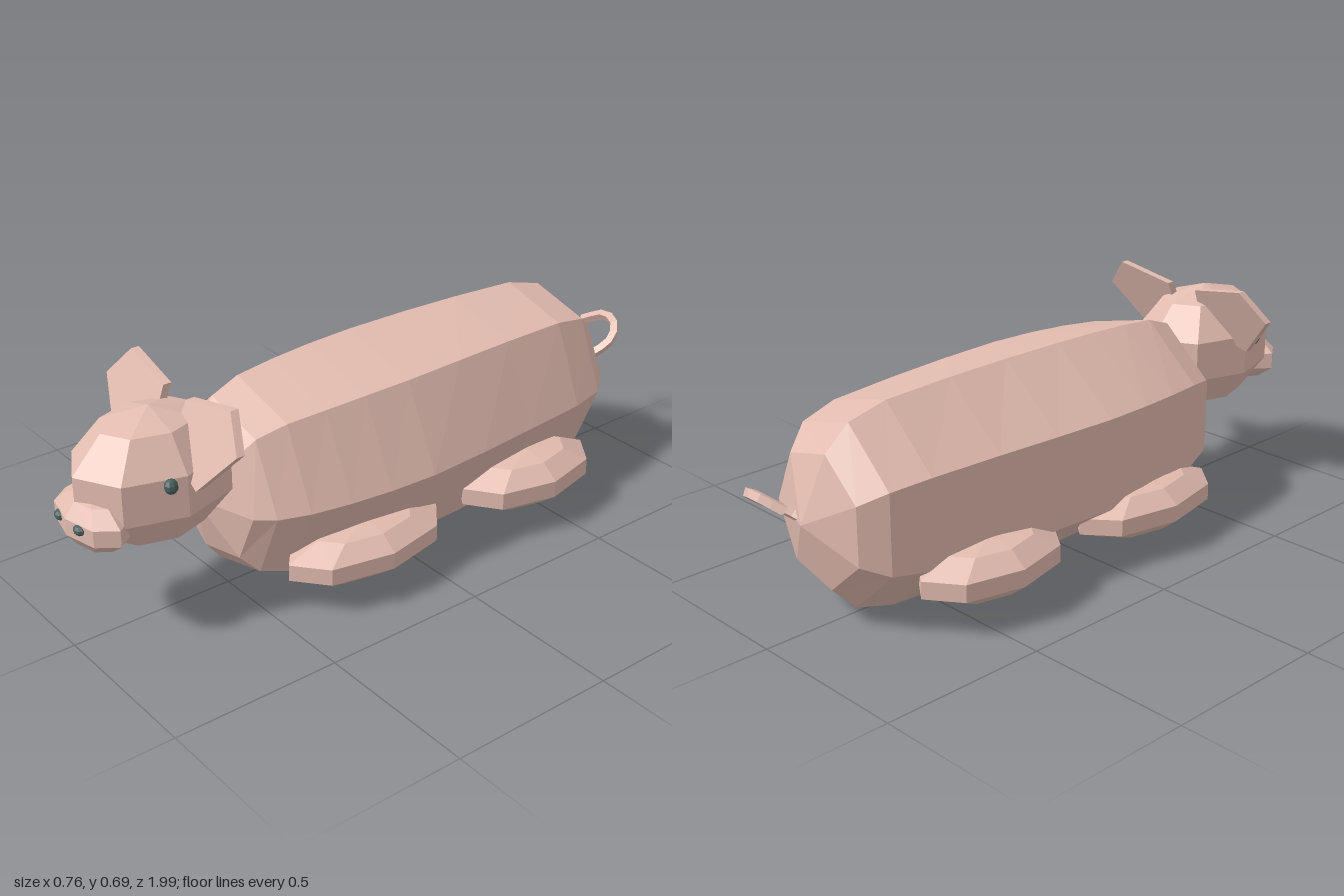
import * as THREE from 'three';

const skin = new THREE.MeshStandardMaterial({ color: 0xe3bcb0, flatShading: true });
const dark = new THREE.MeshStandardMaterial({ color: 0x4a6260, flatShading: true });

function add(group, name, geometry, material = skin) {
  const mesh = new THREE.Mesh(geometry, material);
  mesh.name = name;
  group.add(mesh);
  return mesh;
}

// Low-poly ellipsoid with its pole pointing up
function ellipsoid(group, name, pos, radii, material = skin) {
  const geo = new THREE.SphereGeometry(1, 8, 5);
  geo.scale(...radii).translate(...pos);
  return add(group, name, geo, material);
}

// Seven-sided barrel lofted along z from rings of [z, half width, half height]
function bodyGeometry() {
  const sides = 7, centreY = 0.32;
  const rings = [
    [-0.87, 0, 0], [-0.81, 0.18, 0.2], [-0.74, 0.235, 0.275], [-0.62, 0.265, 0.308],
    [-0.4, 0.287, 0.318], [-0.2, 0.306, 0.322], [0, 0.319, 0.322], [0.15, 0.312, 0.318],
    [0.28, 0.297, 0.31], [0.4, 0.274, 0.298], [0.49, 0.242, 0.265], [0.54, 0.2, 0.2], [0.6, 0, 0],
  ];
  const positions = [], index = [];
  for (const [z, rx, ry] of rings) {
    for (let j = 0; j < sides; j++) {
      const a = (j / sides) * Math.PI * 2;
      positions.push(rx * Math.cos(a), centreY + ry * Math.sin(a), z);
    }
  }
  for (let i = 0; i < rings.length - 1; i++) {
    for (let j = 0; j < sides; j++) {
      const k = (j + 1) % sides;
      const a = i * sides + j, b = i * sides + k, c = b + sides, d = a + sides;
      if (i > 0) index.push(a, b, d);
      if (i < rings.length - 2) index.push(b, c, d);
      if (i === 0) index.push(a, c, d);
    }
  }
  const geo = new THREE.BufferGeometry();
  geo.setAttribute('position', new THREE.Float32BufferAttribute(positions, 3));
  geo.setIndex(index);
  geo.computeVertexNormals();
  return geo;
}

// Flat ear plate, leaning back towards its top
function earGeometry(side) {
  const outline = [[0.05, 0.59], [0.055, 0.657], [0.24, 0.692], [0.318, 0.603], [0.205, 0.475], [0.13, 0.5]];
  const shape = new THREE.Shape(outline.map(([x, y]) => new THREE.Vector2(side * x, y)));
  const geo = new THREE.ExtrudeGeometry(shape, { depth: 0.025, bevelEnabled: false });
  const p = geo.attributes.position;
  for (let i = 0; i < p.count; i++) {
    p.setZ(i, p.getZ(i) + 0.6 + (0.69 - p.getY(i)) * 0.43);
  }
  geo.computeVertexNormals();
  return geo;
}

export function createModel() {
  const model = new THREE.Group();
  model.name = 'pig';

  add(model, 'body', bodyGeometry());

  // Head and snout
  ellipsoid(model, 'head', [0, 0.451, 0.722], [0.188, 0.196, 0.25]);
  ellipsoid(model, 'snout', [0, 0.376, 0.91], [0.15, 0.08, 0.085]);

  // Paired parts
  for (const [side, label] of [[1, 'left'], [-1, 'right']]) {
    add(model, label + 'Ear', earGeometry(side));
    ellipsoid(model, label + 'Eye', [side * 0.172, 0.495, 0.77], [0.019, 0.022, 0.02], dark);
    ellipsoid(model, label + 'Nostril', [side * 0.05, 0.386, 0.978], [0.021, 0.015, 0.016], dark);
    ellipsoid(model, label + 'FrontLeg', [side * 0.24, 0.138, 0.19], [0.14, 0.08, 0.28]);
    ellipsoid(model, label + 'BackLeg', [side * 0.24, 0.148, -0.425], [0.147, 0.084, 0.257]);
  }

  // Curled tail
  const path = new THREE.CatmullRomCurve3([
    [0.02, 0.32, -0.84], [0.07, 0.345, -0.87], [0.097, 0.39, -0.935],
    [0.07, 0.425, -0.975], [0.015, 0.435, -0.985], [-0.05, 0.405, -0.95],
  ].map((p) => new THREE.Vector3(...p)));
  const tailMaterial = skin.clone();
  tailMaterial.side = THREE.DoubleSide;
  add(model, 'tail', new THREE.TubeGeometry(path, 10, 0.016, 4), tailMaterial);

  return model;
}
